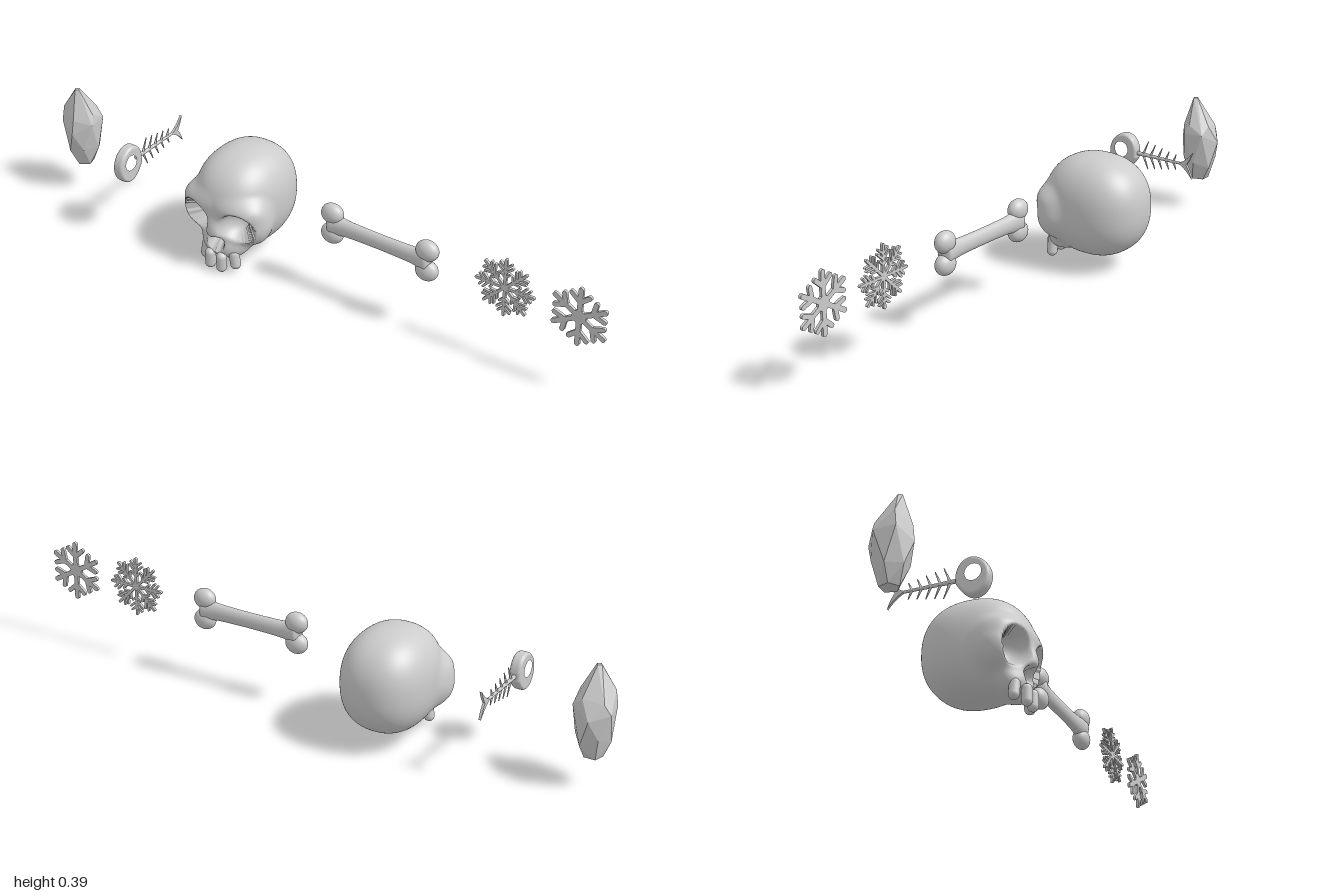
import * as THREE from 'three';
import { mergeVertices } from 'three/addons/utils/BufferGeometryUtils.js';
import { ConvexGeometry } from 'three/addons/geometries/ConvexGeometry.js';

const smooth = new THREE.MeshStandardMaterial({ color: 0xcccccc });
const flat = new THREE.MeshStandardMaterial({ color: 0xcccccc, flatShading: true });

function add(parent, name, geometry, material = smooth, x = 0, y = 0, z = 0) {
  const mesh = new THREE.Mesh(geometry, material);
  mesh.name = name;
  mesh.position.set(x, y, z);
  parent.add(mesh);
  return mesh;
}

function group(parent, name, x, y, z) {
  const g = new THREE.Group();
  g.name = name;
  g.position.set(x, y, z);
  parent.add(g);
  return g;
}

// Approximate signed distance to a (super)ellipsoid
function blob(p, c, r, n = 2) {
  const s = Math.abs((p.x - c[0]) / r[0]) ** n + Math.abs((p.y - c[1]) / r[1]) ** n + Math.abs((p.z - c[2]) / r[2]) ** n;
  return (s ** (1 / n) - 1) * Math.min(...r);
}

function blend(a, b, k) {
  const h = Math.max(k - Math.abs(a - b), 0) / k;
  return Math.min(a, b) - h * h * k / 4;
}

// Skull solid, mirrored in x: rounded masses joined, then hollows carved out
function skullField(v) {
  const p = { x: Math.abs(v.x), y: v.y, z: v.z };
  let d = blob(p, [0, 0.205, -0.015], [0.14, 0.163, 0.172], 2.3);             // cranium
  d = blend(d, blob(p, [0.1, 0.175, 0.078], [0.055, 0.07, 0.058]), 0.03);     // cheekbone
  d = blend(d, blob(p, [0.06, 0.225, 0.1], [0.07, 0.035, 0.05]), 0.03);       // brow
  d = blend(d, blob(p, [0, 0.145, 0.125], [0.03, 0.045, 0.047]), 0.025);      // nose bridge
  d = blend(d, blob(p, [0, 0.075, 0.1], [0.075, 0.042, 0.05]), 0.03);         // upper jaw
  d = -blend(-d, blob(p, [0.077, 0.17, 0.145], [0.054, 0.054, 0.075]), 0.012); // eye socket
  d = -blend(-d, blob(p, [0.009, 0.102, 0.155], [0.02, 0.03, 0.045]), 0.008);  // nose hole
  return d;
}

// Shrink-wrap a sphere onto the skull solid, casting inwards along each direction
function skullGeometry() {
  const source = new THREE.SphereGeometry(1, 200, 140);
  source.deleteAttribute('uv');
  source.deleteAttribute('normal');
  const geo = mergeVertices(source, 1e-5);
  const pos = geo.attributes.position;
  const centre = new THREE.Vector3(0, 0.18, 0);
  const dir = new THREE.Vector3(), p = new THREE.Vector3();
  const at = (t) => skullField(p.copy(centre).addScaledVector(dir, t));
  for (let i = 0; i < pos.count; i++) {
    dir.fromBufferAttribute(pos, i).normalize();
    let out = 0.28;
    while (out > 0.02 && at(out) > 0) out -= 0.004;
    let lo = out, hi = out + 0.004;
    for (let k = 0; k < 12; k++) {
      const mid = (lo + hi) / 2;
      if (at(mid) > 0) hi = mid; else lo = mid;
    }
    at(lo);
    pos.setXYZ(i, p.x, p.y, p.z);
  }
  geo.computeVertexNormals();
  return geo;
}

function buildSkull(root) {
  const skull = group(root, 'skull', -0.298, 0, 0);
  add(skull, 'cranium', skullGeometry());
  const tooth = new THREE.CapsuleGeometry(0.017, 0.036, 8, 20);
  for (const s of [-1, 1]) {
    add(skull, 'frontTooth', tooth, smooth, s * 0.022, 0.035, 0.147);
    const side = add(skull, 'sideTooth', tooth, smooth, s * 0.055, 0.045, 0.122);
    side.rotation.z = s * 0.15;
  }
}

// Faceted gem: hull of irregular rings given as [y, radius, sides, turn, xShift, zShift]
function buildCrystal(root) {
  const rings = [
    [0.105, 0.03, 5, 0.3, -0.003, 0], [0.165, 0.054, 6, 0.9, 0, 0],
    [0.255, 0.066, 6, 0.4, 0, 0], [0.3, 0.055, 5, 0.1, 0, 0.005], [0.387, 0.009, 4, 0.2, 0.004, 0.02],
  ];
  const points = [];
  rings.forEach(([y, r, n, turn, dx, dz], k) => {
    for (let i = 0; i < n; i++) {
      const a = turn + i / n * Math.PI * 2;
      const wobble = 0.018 * Math.sin(i * 2.4 + k) * (r / 0.066);
      points.push(new THREE.Vector3(Math.cos(a) * r + dx, y + (k > 0 && k < 4 ? wobble : 0), Math.sin(a) * r + dz));
    }
  });
  add(root, 'crystal', new ConvexGeometry(points), flat, -0.937, 0, 0.022);
}

// Fish skeleton, drawn in a plane whose x runs towards the head, then turned to face +z
function buildFish(root) {
  const fish = group(root, 'fishSkeleton', -0.653, 0.255, 0);
  fish.rotation.y = -Math.PI / 2;
  const head = new THREE.Shape();
  head.moveTo(0.09, 0.012);
  head.bezierCurveTo(0.095, 0.04, 0.11, 0.052, 0.13, 0.052);
  head.bezierCurveTo(0.16, 0.048, 0.177, 0.02, 0.177, -0.005);
  head.bezierCurveTo(0.175, -0.035, 0.155, -0.054, 0.135, -0.052);
  head.bezierCurveTo(0.115, -0.05, 0.1, -0.03, 0.09, -0.012);
  head.closePath();
  head.holes.push(new THREE.Path().absellipse(0.137, 0.008, 0.026, 0.026, 0, Math.PI * 2, true));
  const bevel = { depth: 0.016, bevelSize: 0.009, bevelThickness: 0.01, bevelSegments: 5, curveSegments: 14 };
  add(fish, 'head', new THREE.ExtrudeGeometry(head, bevel).translate(0, 0, -0.008));
  const spine = add(fish, 'spine', new THREE.CylinderGeometry(0.007, 0.004, 0.2, 10), smooth, -0.005, 0, 0);
  spine.rotation.z = -Math.PI / 2;
  // Ribs shorten towards the tail and sweep back
  for (let i = 0; i < 5; i++) {
    const len = 0.052 - i * 0.006;
    for (const s of [-1, 1]) {
      const rib = add(fish, 'rib', new THREE.CylinderGeometry(0.0015, 0.0045, len, 8).translate(0, len / 2, 0), smooth, 0.06 - i * 0.03, 0, 0);
      rib.rotation.z = s > 0 ? 0.4 : Math.PI - 0.4;
    }
  }
  const tail = new THREE.Shape();
  tail.moveTo(-0.08, 0);
  tail.quadraticCurveTo(-0.11, 0.012, -0.135, 0.045);
  tail.quadraticCurveTo(-0.125, 0.015, -0.112, 0);
  tail.quadraticCurveTo(-0.125, -0.015, -0.135, -0.045);
  tail.quadraticCurveTo(-0.11, -0.012, -0.08, 0);
  add(fish, 'tail', new THREE.ExtrudeGeometry(tail, { depth: 0.008, bevelEnabled: false }).translate(0, 0, -0.004));
}

// Long bone: a waisted shaft with two knobs at each end
function buildBone(root) {
  const bone = group(root, 'bone', 0.23, 0.243, 0.024);
  const curve = new THREE.SplineCurve([
    [0.001, -0.185], [0.036, -0.175], [0.034, -0.15], [0.028, -0.11], [0.026, 0],
    [0.028, 0.11], [0.034, 0.15], [0.036, 0.175], [0.001, 0.185],
  ].map(([r, y]) => new THREE.Vector2(r, y)));
  const shaft = add(bone, 'shaft', new THREE.LatheGeometry(curve.getPoints(48), 32));
  shaft.rotation.z = Math.PI / 2;
  shaft.scale.z = 0.68;
  const knob = new THREE.SphereGeometry(1, 28, 20);
  for (const sx of [-1, 1]) for (const sy of [-1, 1]) {
    add(bone, 'knob', knob, smooth, sx * 0.17, sy * 0.035, 0).scale.set(0.038, 0.034, 0.027);
  }
}

// Flat bar with rounded ends running up from its origin
function bar(length, width) {
  const r = width / 2;
  const s = new THREE.Shape();
  s.absarc(0, length - r, r, 0, Math.PI);
  s.absarc(0, r, r, Math.PI, Math.PI * 2);
  s.closePath();
  return new THREE.ExtrudeGeometry(s, { depth: 0.009, bevelEnabled: false, curveSegments: 6 }).translate(0, 0, -0.0045);
}

// Snowflake: repeated arms, each with mirrored pairs of [height, length] twigs
function buildSnowflake(root, name, x, arms, length, width, twigs, twigWidth) {
  const flake = group(root, name, x, 0.257, 0.025);
  for (let i = 0; i < arms; i++) {
    const arm = group(flake, 'arm', 0, 0, 0);
    arm.rotation.z = i / arms * Math.PI * 2;
    add(arm, 'stem', bar(length, width));
    for (const [y, len] of twigs) for (const s of [-1, 1]) {
      add(arm, 'twig', bar(len, twigWidth), smooth, 0, y, 0).rotation.z = s * 0.85;
    }
  }
  return flake;
}

export function createModel() {
  const root = new THREE.Group();
  root.name = 'trinkets';
  buildCrystal(root);
  buildFish(root);
  buildSkull(root);
  buildBone(root);
  buildSnowflake(root, 'featheredSnowflake', 0.667, 8, 0.1, 0.009, [[0.036, 0.024], [0.052, 0.034], [0.068, 0.028]], 0.007);
  const hub = buildSnowflake(root, 'plainSnowflake', 0.91, 6, 0.1, 0.016, [[0.05, 0.045]], 0.015);
  add(hub, 'hub', new THREE.CylinderGeometry(0.026, 0.026, 0.009, 6)).rotation.x = Math.PI / 2;
  return root;
}
